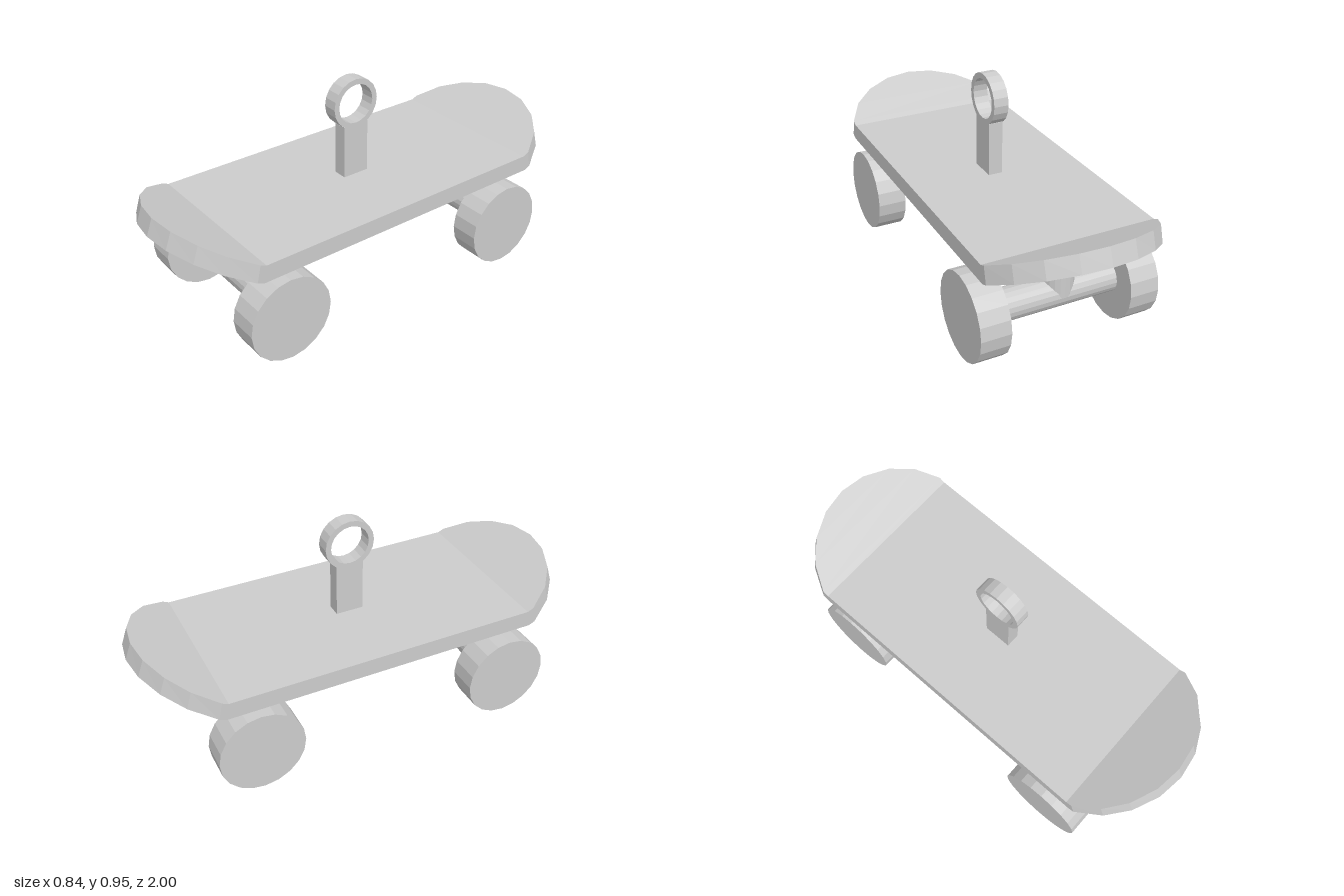
import * as THREE from 'three';

const material = new THREE.MeshStandardMaterial({ color: 0xcccccc, flatShading: true });
const SIDES = 20;

function addMesh(parent, name, geometry, x = 0, y = 0, z = 0) {
  const mesh = new THREE.Mesh(geometry, material);
  mesh.name = name;
  mesh.position.set(x, y, z);
  parent.add(mesh);
  return mesh;
}

// Cylinder lying along x
function crossCylinder(radius, width) {
  return new THREE.CylinderGeometry(radius, radius, width, SIDES).rotateZ(Math.PI / 2);
}

// Deck lofted from rectangular sections; both rounded ends kick up from mitred folds
function deckGeometry() {
  // [half width, distance along the kicked-up end from 0 to 1]
  const end = [[0.387, 0], [0.387, 0.1], [0.325, 0.48], [0.235, 0.755], [0.12, 0.94], [0, 1]];
  const section = ([w, s], side) => {
    const zb = side * (0.718 + s * 0.28), yb = 0.42 + s * 0.125;
    const zt = side * (0.702 + s * 0.268), yt = 0.497 + s * 0.123;
    return [[-w, yb, zb], [w, yb, zb], [w, yt, zt], [-w, yt, zt]];
  };
  const sections = [
    ...end.slice().reverse().map((e) => section(e, -1)),
    ...end.map((e) => section(e, 1)),
  ];
  const index = [];
  for (let i = 0; i < sections.length - 1; i++) {
    for (let j = 0; j < 4; j++) {
      const a = i * 4 + j, b = i * 4 + (j + 1) % 4;
      index.push(a, b, b + 4, a, b + 4, a + 4);
    }
  }
  const geometry = new THREE.BufferGeometry();
  geometry.setAttribute('position', new THREE.Float32BufferAttribute(sections.flat(2), 3));
  geometry.setIndex(index);
  const faceted = geometry.toNonIndexed();
  faceted.computeVertexNormals();
  return faceted;
}

// Axle, hanger post and two wheels
function truck(name, x, z, wheelZ) {
  const group = new THREE.Group();
  group.name = name;
  addMesh(group, 'hangerPost', new THREE.CylinderGeometry(0.072, 0.072, 0.227, SIDES), -0.011, 0.3165, z);
  addMesh(group, 'axle', crossCylinder(0.07, 0.56), x, 0.203, z);
  for (const side of [-1, 1]) {
    addMesh(group, side > 0 ? 'leftWheel' : 'rightWheel',
      crossCylinder(0.192, 0.133), x + side * 0.3385, 0.192, wheelZ);
  }
  return group;
}

export function createModel() {
  const model = new THREE.Group();
  model.name = 'skateboard';

  addMesh(model, 'deck', deckGeometry());
  model.add(truck('frontTruck', -0.015, 0.59, 0.598));
  model.add(truck('backTruck', 0.0125, -0.59, -0.575));

  // Hanging loop on a short stem
  addMesh(model, 'loopStem', new THREE.BoxGeometry(0.064, 0.255, 0.126), 0.005, 0.6125, 0);
  const ringProfile = [[0.114, -0.0335], [0.114, 0.0335], [0.089, 0.0335], [0.089, -0.0335], [0.114, -0.0335]]
    .map(([r, h]) => new THREE.Vector2(r, h));
  addMesh(model, 'loopRing', new THREE.LatheGeometry(ringProfile, SIDES).rotateZ(Math.PI / 2), 0.0035, 0.836, 0);

  return model;
}
